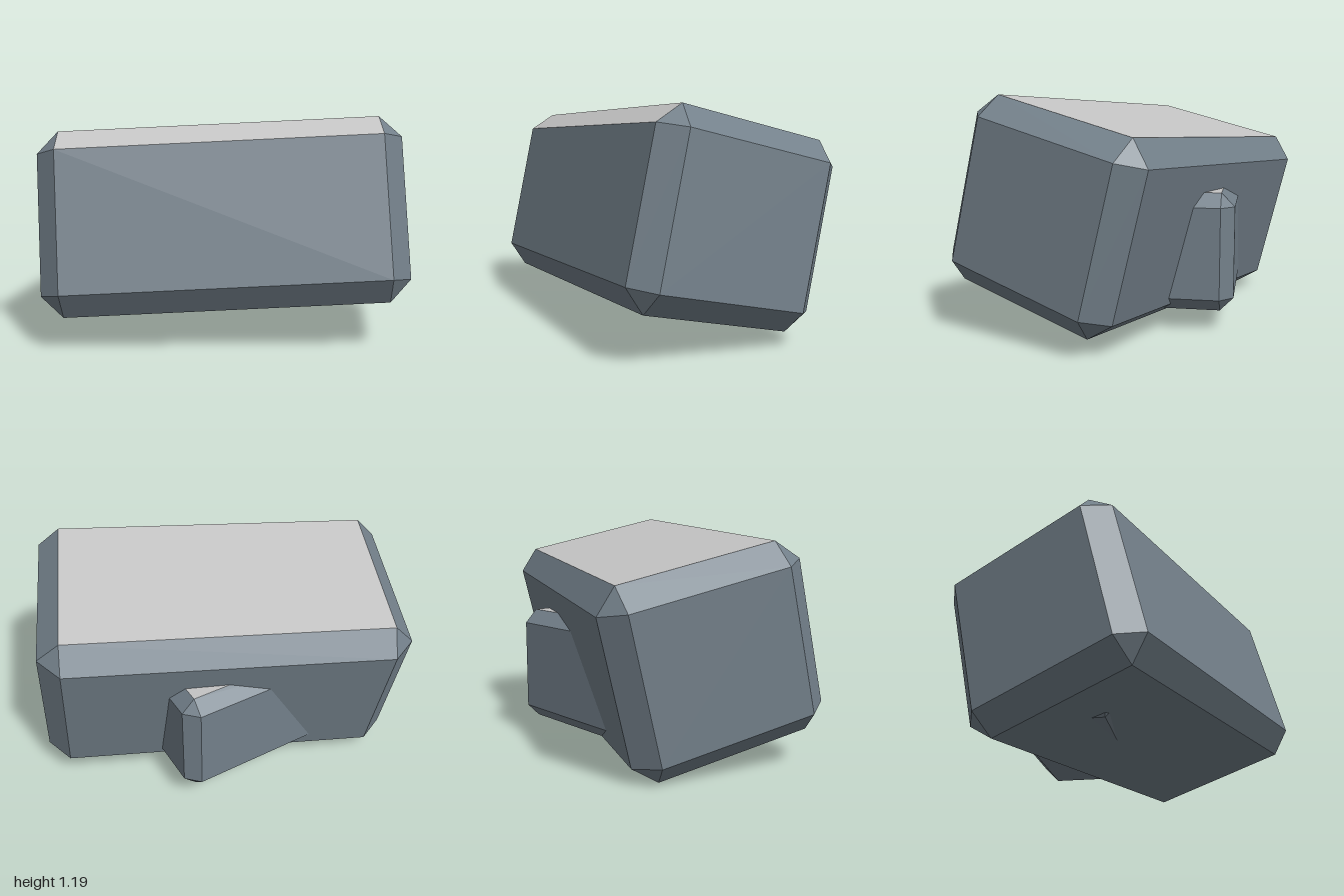
import * as THREE from 'three';

const slate = new THREE.MeshStandardMaterial({ color: 0x73808a });
slate.name = 'slate stone';
const pale = new THREE.MeshStandardMaterial({ color: 0xc4c4c4 });
pale.name = 'pale stone top';

// Box with flat bevels: 6 faces, 12 edge strips and 8 corner triangles.
// The top face and the bevel between +x and the top get the pale material.
function bevelledBox(half, bevel) {
  const groups = [[], []];
  // Corner point lying on the face of the given axis
  const point = (axis, signs) => new THREE.Vector3(
    ...half.map((h, i) => signs[i] * (i === axis ? h : h - bevel)));

  const addPolygon = (pts, dir, slot) => {
    const normal = pts[1].clone().sub(pts[0]).cross(pts[2].clone().sub(pts[0]));
    if (normal.dot(dir) < 0) pts.reverse();
    for (let i = 1; i < pts.length - 1; i++) {
      for (const p of [pts[0], pts[i], pts[i + 1]]) groups[slot].push(p.x, p.y, p.z);
    }
  };

  for (let x = -1; x <= 1; x++) for (let y = -1; y <= 1; y++) for (let z = -1; z <= 1; z++) {
    const d = [x, y, z];
    const on = [0, 1, 2].filter((i) => d[i] !== 0);
    const off = [0, 1, 2].filter((i) => d[i] === 0);
    if (!on.length) continue;
    const at = (axis, ...free) => {
      const signs = d.slice();
      off.forEach((o, i) => { signs[o] = free[i]; });
      return point(axis, signs);
    };
    let pts;
    if (on.length === 1) {
      pts = [[-1, -1], [1, -1], [1, 1], [-1, 1]].map(([a, b]) => at(on[0], a, b));
    } else if (on.length === 2) {
      pts = [at(on[0], -1), at(on[1], -1), at(on[1], 1), at(on[0], 1)];
    } else {
      pts = on.map((a) => at(a));
    }
    const isPale = y === 1 && z === 0 && x >= 0;
    addPolygon(pts, new THREE.Vector3(x, y, z), isPale ? 1 : 0);
  }

  const geometry = new THREE.BufferGeometry();
  geometry.setAttribute('position',
    new THREE.Float32BufferAttribute([...groups[0], ...groups[1]], 3));
  geometry.addGroup(0, groups[0].length / 3, 0);
  geometry.addGroup(groups[0].length / 3, groups[1].length / 3, 1);
  geometry.computeVertexNormals();
  return geometry;
}

export function createModel() {
  const model = new THREE.Group();
  model.name = 'rocks';

  // Large tilted block
  const large = new THREE.Mesh(bevelledBox([0.508, 0.477, 0.938], 0.112), [slate, pale]);
  large.name = 'largeRock';
  const across = new THREE.Vector3(0.695, 0.23, 0.682).normalize();
  const along = across.clone().cross(new THREE.Vector3(-0.204, 0.969, -0.132)).normalize();
  const up = along.clone().cross(across);
  large.quaternion.setFromRotationMatrix(new THREE.Matrix4().makeBasis(across, up, along));
  large.position.set(0, 0.6, 0);
  model.add(large);

  // Small upright block, mostly buried in the large one
  const small = new THREE.Mesh(bevelledBox([0.303, 0.3, 0.553], 0.068), [slate, pale]);
  small.name = 'smallRock';
  small.rotation.y = THREE.MathUtils.degToRad(-21.5);
  small.position.set(-0.278, 0.411, -0.034);
  model.add(small);

  return model;
}
